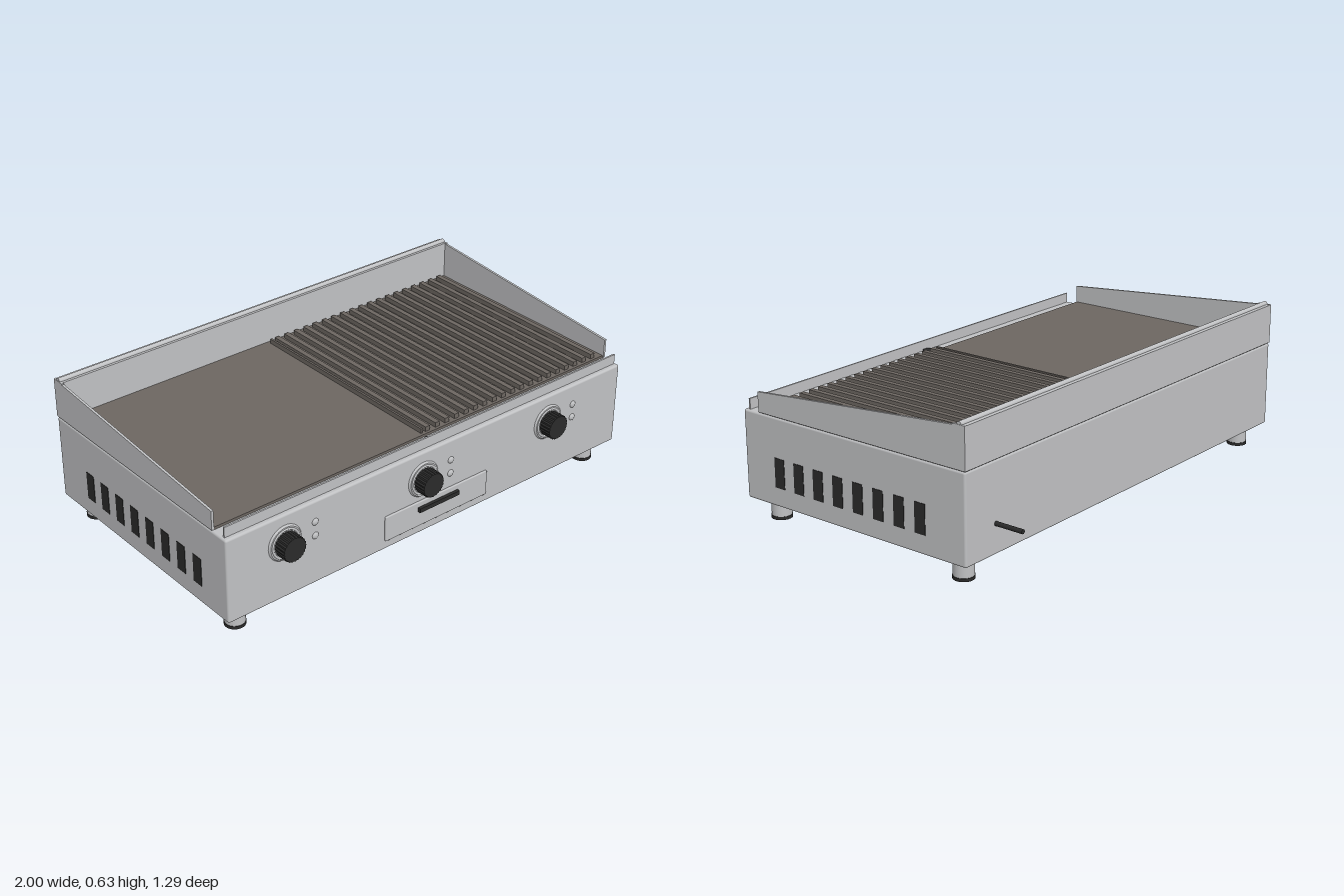
import * as THREE from 'three';
import { RoundedBoxGeometry } from 'three/addons/geometries/RoundedBoxGeometry.js';

const material = (name, color) => {
  const m = new THREE.MeshStandardMaterial({ color });
  m.name = name;
  return m;
};

export function createModel() {
  const steel = material('brushed steel', 0xc0c1c3);
  const iron = material('cooking iron', 0x6c6661);
  const black = material('black', 0x2a2a2a);
  const model = new THREE.Group();

  const add = (name, geometry, mat, x = 0, y = 0, z = 0, parent = model) => {
    const mesh = new THREE.Mesh(geometry, mat);
    mesh.name = name;
    mesh.position.set(x, y, z);
    parent.add(mesh);
    return mesh;
  };
  // Box given by its limits on each axis
  const box = (name, mat, [x0, x1], [y0, y1], [z0, z1], parent) =>
    add(name, new THREE.BoxGeometry(x1 - x0, y1 - y0, z1 - z0), mat,
      (x0 + x1) / 2, (y0 + y1) / 2, (z0 + z1) / 2, parent);
  // Cylinder pointing along z
  const rod = (r0, r1, length) => new THREE.CylinderGeometry(r0, r1, length, 40).rotateX(Math.PI / 2);

  // Housing with softly rounded edges and a dark seam above it
  add('housing', new RoundedBoxGeometry(2, 0.36, 1.105, 3, 0.009), steel, 0, 0.267, 0.0315);
  box('seam', black, [-0.994, 0.994], [0.44, 0.452], [-0.516, 0.498]);

  // Splash guard: sloping side sheets, back wall and rolled rim
  const profile = new THREE.Shape([[0.503, 0.45], [0.503, 0.531], [-0.465, 0.612], [-0.465, 0.617],
    [-0.522, 0.617], [-0.522, 0.45]].map(([z, y]) => new THREE.Vector2(-z, y)));
  for (const side of [-1, 1]) {
    const sheet = new THREE.ExtrudeGeometry(profile, { depth: 0.01, bevelEnabled: false })
      .rotateY(Math.PI / 2);
    add('sideGuard', sheet, steel, side > 0 ? 0.99 : -1);
  }
  box('backGuard', steel, [-0.99, 0.99], [0.45, 0.616], [-0.522, -0.472]);
  add('rolledRim', new THREE.CylinderGeometry(0.011, 0.011, 1.996, 20).rotateZ(Math.PI / 2),
    steel, 0, 0.617, -0.494);

  // Cooking plate, smooth on one half and ribbed on the other
  box('cookingPlate', iron, [-0.988, 0.988], [0.44, 0.458], [-0.474, 0.5]);
  box('plateDivider', iron, [-0.004, 0.005], [0.455, 0.478], [-0.455, 0.488]);
  for (let i = 0; i < 19; i++) {
    const x = 0.03 + i * 0.0505;
    box('rib', iron, [x - 0.011, x + 0.011], [0.455, 0.478], [-0.455, 0.488]);
  }

  // Front grease channel: upright lip and drain
  box('frontLip', steel, [-0.99, 0.99], [0.44, 0.49], [0.557, 0.564]);
  add('drain', new THREE.CylinderGeometry(0.024, 0.024, 0.012, 32), black, 0, 0.448, 0.534);

  // Side vents
  for (const side of [-1, 1]) {
    for (let i = 0; i < 8; i++) {
      add('vent', new THREE.BoxGeometry(0.004, 0.12, 0.05), black, side, 0.225, 0.401 - i * 0.1013);
    }
  }

  // Fluted knob outline
  const flutes = [];
  for (let i = 0; i < 96; i++) {
    const a = i / 96 * Math.PI * 2;
    const r = 0.049 + 0.0015 * Math.cos(a * 24);
    flutes.push(new THREE.Vector2(Math.cos(a) * r, Math.sin(a) * r));
  }
  const knobGeometry = new THREE.ExtrudeGeometry(new THREE.Shape(flutes),
    { depth: 0.049, bevelThickness: 0.003, bevelSize: 0.002, bevelSegments: 1 });

  // Three controls, each with a bezel, knob and two lamps
  for (const x of [-0.74, -0.073, 0.594]) {
    const control = new THREE.Group();
    control.name = 'control';
    control.position.set(x, 0.328, 0.583);
    model.add(control);
    add('bezel', rod(0.07, 0.077, 0.01), steel, 0, 0, 0.004, control);
    add('bezelRing', new THREE.TorusGeometry(0.06, 0.005, 10, 40), steel, 0, 0, 0.008, control);
    add('knob', knobGeometry, black, 0, 0, 0.009, control);
    for (const y of [-0.03, 0.03]) {
      const lamp = add('lamp', new THREE.SphereGeometry(0.015, 20, 12), steel, 0.14, y, 0, control);
      lamp.scale.z = 0.6;
    }
  }

  // Grease drawer with bar handle
  add('drawer', new RoundedBoxGeometry(0.524, 0.11, 0.016, 2, 0.004), steel, -0.003, 0.181, 0.584);
  box('drawerHandle', black, [-0.104, 0.1], [0.196, 0.214], [0.588, 0.606]);

  // Feet with rubber pads
  for (const x of [-0.91, 0.91]) {
    for (const z of [0.496, -0.433]) {
      add('foot', new THREE.CylinderGeometry(0.04, 0.04, 0.082, 32), steel, x, 0.052, z);
      add('footPad', new THREE.CylinderGeometry(0.042, 0.042, 0.013, 32), black, x, 0.0065, z);
    }
  }

  // Power cord stub
  add('powerCord', rod(0.009, 0.009, 0.135), black, 0.835, 0.207, -0.5775);

  return model;
}
